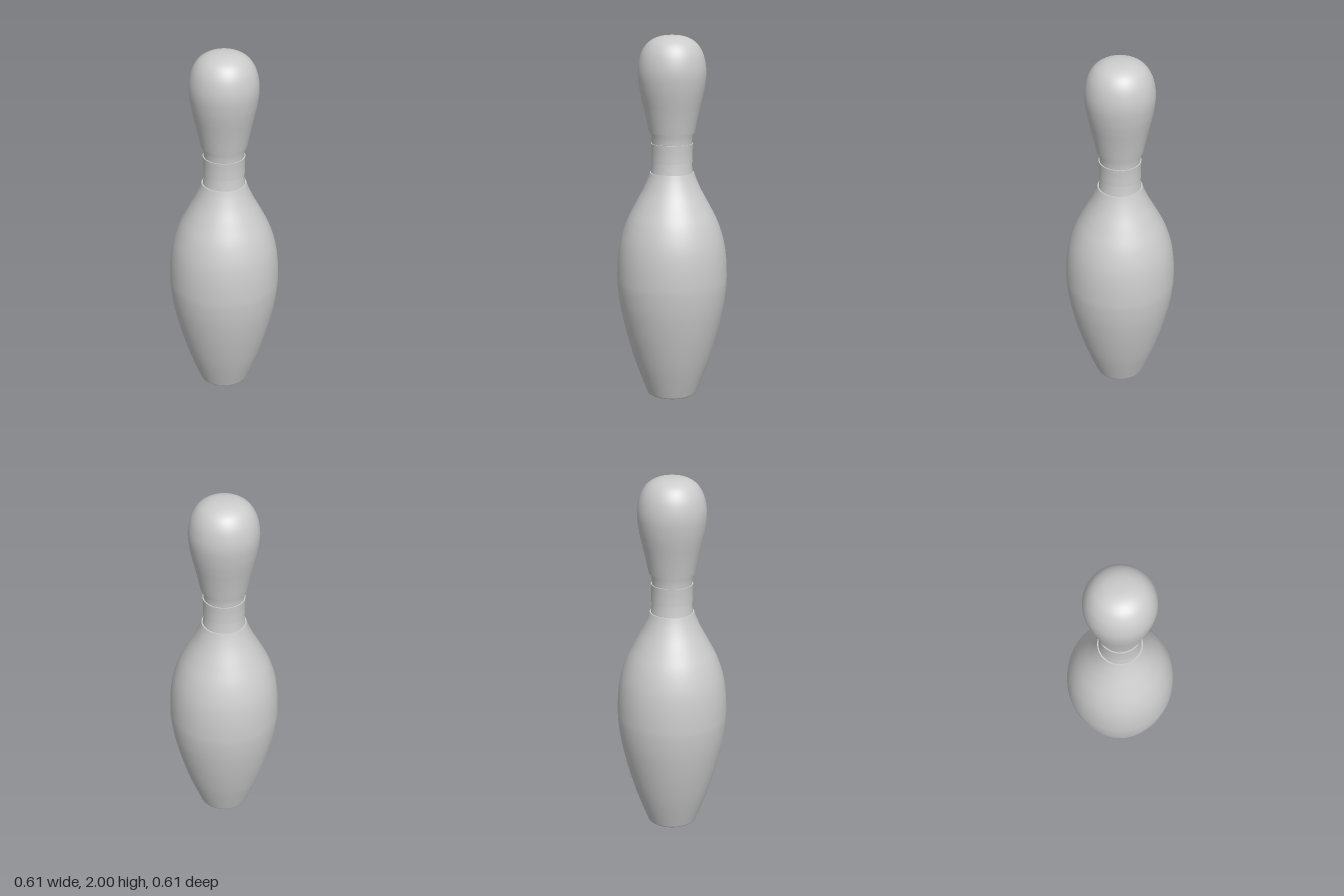
import * as THREE from 'three';

const SEGMENTS = 96;

export function createModel() {
  const group = new THREE.Group();
  const material = new THREE.MeshStandardMaterial({ color: 0xcccccc });

  // Revolve a profile of [radius, height] points, listed bottom to top
  const turn = (name, profile, samples = 0) => {
    let points = profile.map(([r, y]) => new THREE.Vector2(r, y));
    if (samples) points = new THREE.SplineCurve(points).getPoints(samples);
    points.forEach((p) => { p.x = Math.max(p.x, 0); });
    const mesh = new THREE.Mesh(new THREE.LatheGeometry(points, SEGMENTS), material);
    mesh.name = name;
    group.add(mesh);
  };

  // Flat foot with a small rounded rim
  turn('base', [[0, 0], [0.136, 0]]);
  turn('baseRim', [[0.136, 0], [0.14, 0.003], [0.143, 0.01]]);

  // Swelling belly, narrowing to the neck
  turn('belly', [
    [0.143, 0.01], [0.18, 0.11], [0.211, 0.2], [0.243, 0.31], [0.268, 0.41],
    [0.29, 0.52], [0.302, 0.62], [0.304, 0.69], [0.299, 0.79], [0.283, 0.89],
    [0.25, 0.99], [0.205, 1.08], [0.162, 1.16], [0.135, 1.22], [0.121, 1.26],
  ], 70);

  // Neck: two recessed stripes around a raised collar
  turn('lowerStripe', [[0.114, 1.26], [0.11, 1.29], [0.107, 1.32]], 6);
  turn('collar', [[0.113, 1.32], [0.112, 1.37], [0.114, 1.42]], 8);
  turn('upperStripe', [[0.108, 1.42], [0.111, 1.45], [0.117, 1.48]], 6);

  // Flat ledges where the radius steps in or out
  [
    ['lowerStripeFloor', 0.121, 0.114, 1.26],
    ['collarUnderside', 0.107, 0.113, 1.32],
    ['collarTop', 0.114, 0.108, 1.42],
    ['headUnderside', 0.117, 0.125, 1.48],
  ].forEach(([name, from, to, y]) => turn(name, [[from, y], [to, y]]));

  // Bulbous head with a domed top
  turn('head', [
    [0.125, 1.48], [0.137, 1.54], [0.15, 1.6], [0.164, 1.66], [0.176, 1.72],
    [0.184, 1.79], [0.18, 1.85], [0.164, 1.908], [0.134, 1.955], [0.092, 1.984],
    [0.046, 1.997], [0, 2],
  ], 60);

  return group;
}
